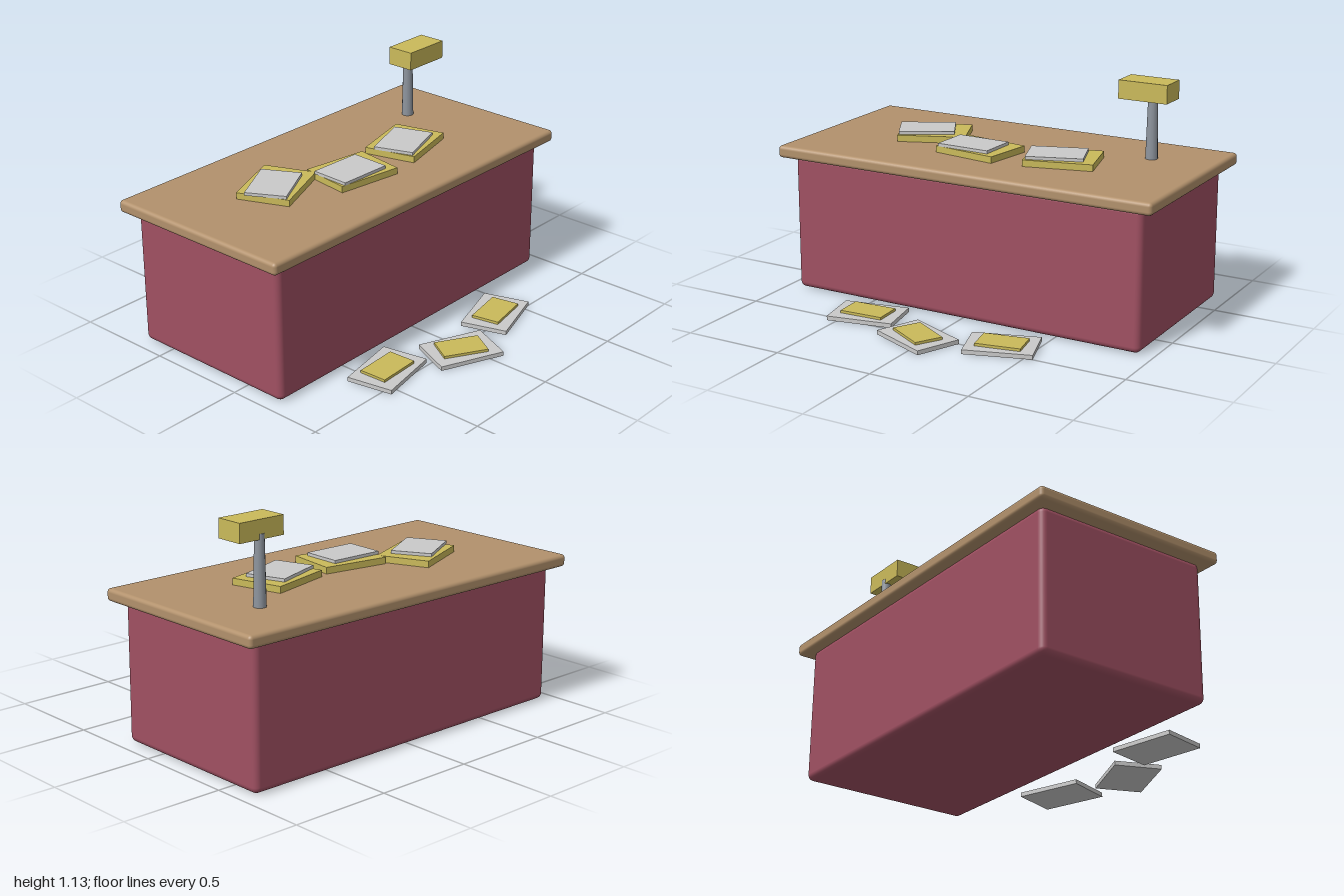
import * as THREE from 'three';
import { RoundedBoxGeometry } from 'three/addons/geometries/RoundedBoxGeometry.js';

const mat = (name, color) => {
  const m = new THREE.MeshStandardMaterial({ color });
  m.name = name;
  return m;
};

export function createModel() {
  const model = new THREE.Group();
  model.name = 'desk';
  const maroon = mat('maroon', 0xa05062);
  const wood = mat('wood', 0xb2916c);
  const yellow = mat('yellow', 0xcaba5a);
  const paper = mat('paper', 0xcacaca);
  const steel = mat('steel', 0x8e959e);

  const add = (name, geometry, material, x, y, z, turn = 0, parent = model) => {
    const mesh = new THREE.Mesh(geometry, material);
    mesh.name = name;
    mesh.position.set(x, y, z);
    mesh.rotation.y = turn;
    parent.add(mesh);
    return mesh;
  };

  // Desk block and overhanging top
  add('deskBody', new RoundedBoxGeometry(1.87, 0.685, 0.895, 3, 0.03), maroon, 0, 0.3475, -0.22);
  add('deskTop', new RoundedBoxGeometry(2, 0.06, 1, 3, 0.018), wood, 0, 0.708, -0.22);

  // Stacks of two sheets: [x, z, turn] of the lower sheet, then of the upper one
  const addStacks = (name, y, lower, upper, places) => {
    places.forEach(([a, b], i) => {
      const stack = new THREE.Group();
      stack.name = `${name}${i + 1}`;
      model.add(stack);
      add('lowerSheet', new THREE.BoxGeometry(...lower.size), lower.material,
        a[0], y + lower.size[1] / 2, a[1], a[2], stack);
      add('upperSheet', new THREE.BoxGeometry(...upper.size), upper.material,
        b[0], y + lower.size[1] + upper.size[1] / 2, b[1], b[2], stack);
    });
  };

  // Folders with papers on the desk
  addStacks('deskFolder', 0.738,
    { size: [0.338, 0.032, 0.262], material: yellow },
    { size: [0.275, 0.015, 0.2], material: paper },
    [
      [[-0.43, -0.265, 0.39], [-0.465, -0.25, 0.5]],
      [[-0.08, -0.107, -0.145], [-0.11, -0.093, -0.03]],
      [[0.35, -0.147, 0.255], [0.323, -0.133, 0.34]],
    ]);

  // Papers with notes on the floor
  addStacks('floorPaper', 0,
    { size: [0.328, 0.021, 0.231], material: paper },
    { size: [0.22, 0.013, 0.14], material: yellow },
    [
      [[-0.407, 0.4, 0.19], [-0.407, 0.4, 0.05]],
      [[-0.04, 0.54, -0.405], [-0.04, 0.54, -0.53]],
      [[0.35, 0.44, 0.31], [0.35, 0.44, 0.19]],
    ]);

  // Lamp
  add('lampPole', new THREE.CylinderGeometry(0.023, 0.03, 0.33, 12), steel, 0.684, 0.9, -0.413);
  add('lampHead', new THREE.BoxGeometry(0.248, 0.09, 0.14), yellow, 0.684, 1.085, -0.36);

  return model;
}
